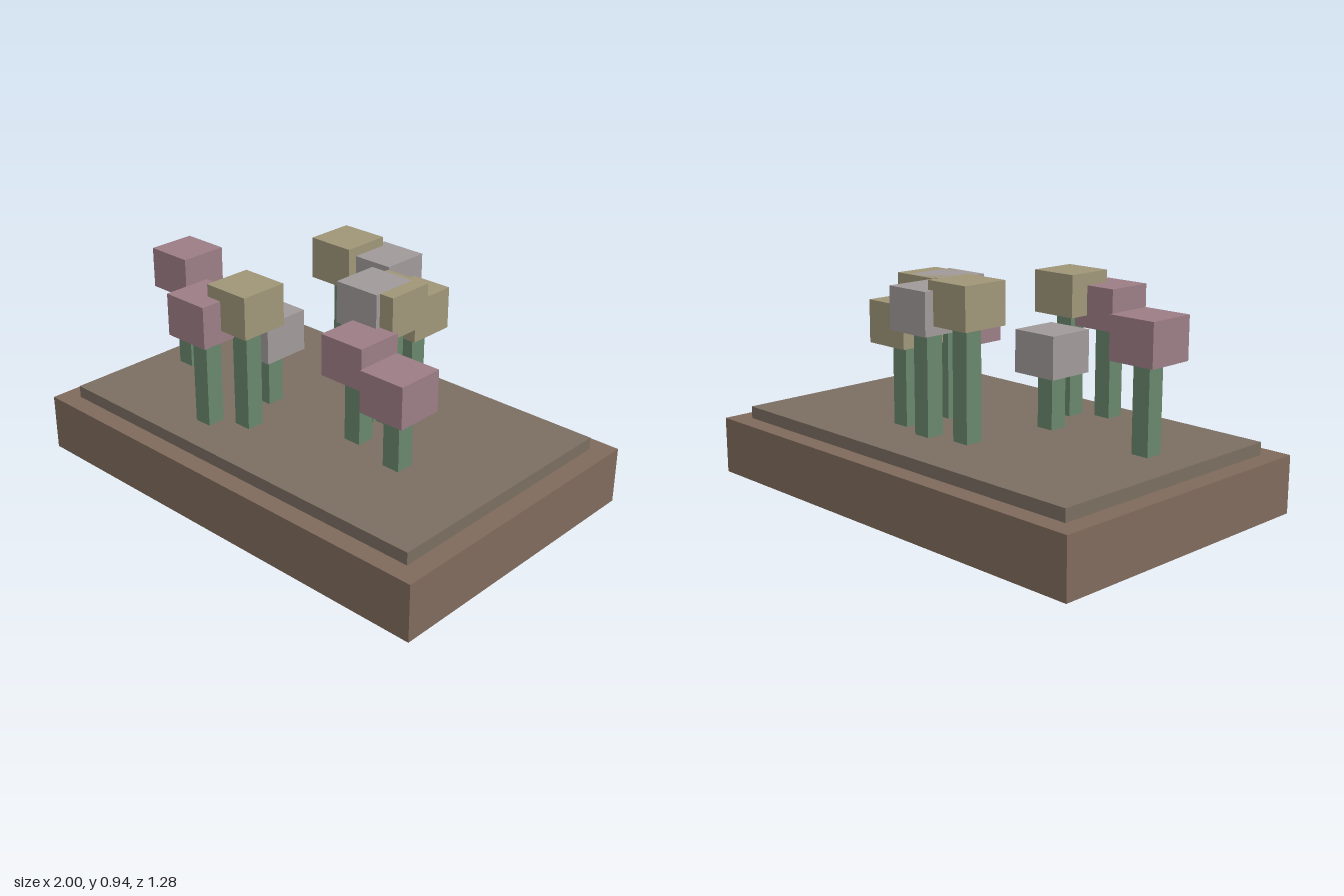
import * as THREE from 'three';

const mat = (color) => new THREE.MeshStandardMaterial({ color, flatShading: true });
const wood = mat(0x7e6a5b);
const soil = mat(0x7a6e60);
const green = mat(0x69866d);
const pink = mat(0x9c7d85);
const yellow = mat(0x9f9678);
const lilac = mat(0xa09999);

// Box standing on the height y
function block(name, material, w, h, d, x, y, z) {
  const mesh = new THREE.Mesh(new THREE.BoxGeometry(w, h, d), material);
  mesh.name = name;
  mesh.position.set(x, y + h / 2, z);
  return mesh;
}

const STEM_BASE = 0.305;
const STEM_WIDTH = 0.077;
const BLOSSOM_WIDTH = 0.206;
const BLOSSOM_HEIGHT = 0.174;

// Square stem with a cube-like blossom on top
function flower(x, z, top, material) {
  const group = new THREE.Group();
  group.name = 'flower';
  const under = top - BLOSSOM_HEIGHT;
  group.add(
    block('stem', green, STEM_WIDTH, under - STEM_BASE, STEM_WIDTH, x, STEM_BASE, z),
    block('blossom', material, BLOSSOM_WIDTH, BLOSSOM_HEIGHT, BLOSSOM_WIDTH, x, under, z)
  );
  return group;
}

export function createModel() {
  const model = new THREE.Group();
  model.name = 'flowerBed';

  // Planter and the soil slab on it
  model.add(block('planter', wood, 2, 0.24, 1.278, 0, 0, 0));
  model.add(block('soil', soil, 1.835, 0.052, 1.118, 0, 0.24, 0));

  // Flowers: x, z, height of the top, blossom colour
  const flowers = [
    [-0.735, 0.078, 0.837, pink],
    [-0.27, 0.393, 0.858, pink],
    [-0.135, 0.304, 0.909, yellow],
    [-0.23, 0.096, 0.705, lilac],
    [0.27, 0.096, 0.759, pink],
    [0.517, 0.15, 0.707, pink],
    [0.185, -0.08, 0.898, lilac],
    [0.25, -0.1, 0.898, yellow],
    [0.21, -0.283, 0.815, yellow],
    [0.03, -0.328, 0.898, lilac],
    [-0.147, -0.287, 0.936, yellow],
  ];
  for (const f of flowers) model.add(flower(...f));

  return model;
}
